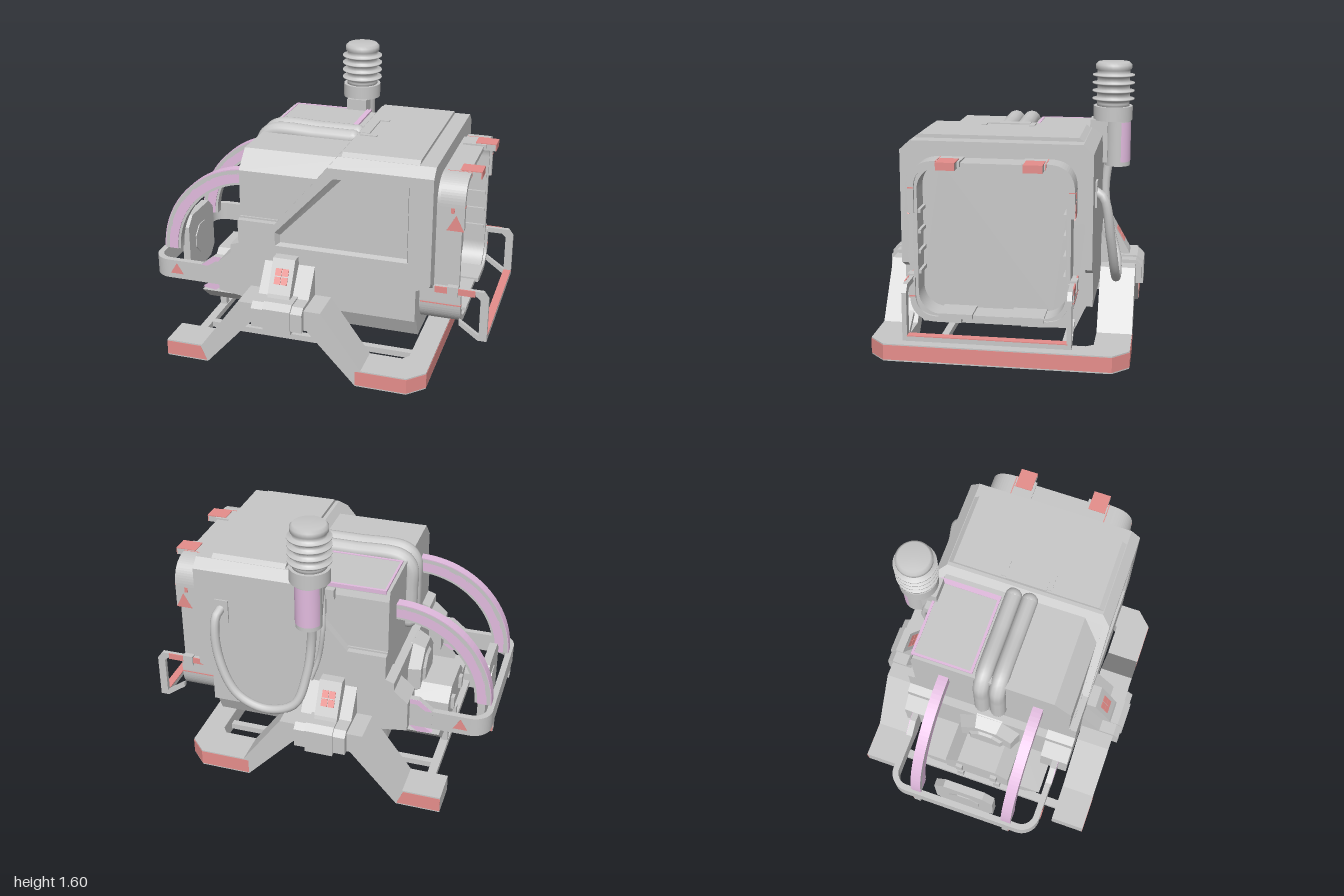
import * as THREE from 'three';

const mat = (name, color) => {
  const m = new THREE.MeshStandardMaterial({ color });
  m.name = name;
  return m;
};

export function createModel() {
  const root = new THREE.Group();
  root.name = 'fieldGenerator';
  const grey = mat('hull grey', 0xc8c8c8);
  const red = mat('warning red', 0xe68e8b);
  const pink = mat('trim lilac', 0xe2bbdf);

  const add = (name, geo, m = grey) => {
    const mesh = new THREE.Mesh(geo, m);
    mesh.name = name;
    root.add(mesh);
    return mesh;
  };
  // box given by its limits
  const box = (name, x0, x1, y0, y1, z0, z1, m = grey) =>
    add(name, new THREE.BoxGeometry(x1 - x0, y1 - y0, z1 - z0)
      .translate((x0 + x1) / 2, (y0 + y1) / 2, (z0 + z1) / 2), m);
  // same box on both sides
  const boxes = (name, x0, x1, y0, y1, z0, z1, m) => {
    box(name + 'Left', x0, x1, y0, y1, z0, z1, m);
    box(name + 'Right', x0, x1, y0, y1, -z1, -z0, m);
  };
  const shapeOf = (pts) => new THREE.Shape(pts.map(([a, b]) => new THREE.Vector2(a, b)));
  const extrude = (shape, depth) =>
    new THREE.ExtrudeGeometry(shape, { depth, bevelEnabled: false, curveSegments: 16 });
  // side profile (x, y) between two z values
  const plate = (name, pts, z0, z1, m) =>
    add(name, extrude(Array.isArray(pts) ? shapeOf(pts) : pts, z1 - z0).translate(0, 0, z0), m);
  const plates = (name, pts, z0, z1, m) => {
    plate(name + 'Left', pts, z0, z1, m);
    plate(name + 'Right', pts, -z1, -z0, m);
  };
  // cross-section (-z, y) between two x values
  const prism = (name, shape, x0, x1, m) =>
    add(name, extrude(shape, x1 - x0).rotateY(Math.PI / 2).translate(x0, 0, 0), m);
  const mirrored = (half) => shapeOf([...half, ...half.map(([z, y]) => [-z, y]).reverse()]);
  const tube = (name, pts, r, m = grey) => add(name, new THREE.TubeGeometry(
    new THREE.CatmullRomCurve3(pts.map((p) => new THREE.Vector3(...p))), 48, r, 12), m);
  const roundRect = (Cls, w, y0, y1, r) => {
    const s = new Cls();
    s.absarc(w - r, y0 + r, r, -Math.PI / 2, 0);
    s.absarc(w - r, y1 - r, r, 0, Math.PI / 2);
    s.absarc(-w + r, y1 - r, r, Math.PI / 2, Math.PI);
    s.absarc(-w + r, y0 + r, r, Math.PI, Math.PI * 1.5);
    s.closePath();
    return s;
  };

  // hull core: lower tub, sloped cabin and narrower hood
  prism('lowerHull', mirrored([[0.42, 0.21], [0.48, 0.34], [0.48, 0.83]]), -0.42, 0.61);
  prism('rearHull', mirrored([[0.45, 0.53], [0.48, 0.57], [0.48, 0.83]]), 0.6, 0.69);
  const cabin = prism('cabin', mirrored([[0.48, 0.82], [0.48, 1.19], [0.515, 1.19], [0.46, 1.24]]), 0, 0.69);
  const p = cabin.geometry.attributes.position;
  for (let i = 0; i < p.count; i++)
    if (p.getX(i) < 0.01) p.setX(i, -0.2 + (p.getY(i) - 0.82) * 0.83);
  cabin.geometry.computeVertexNormals();
  prism('hood', shapeOf([[-0.47, 0.8], [0.47, 0.8], [0.47, 1.14], [0.455, 1.195], [-0.37, 1.2], [-0.47, 1.1]]), -0.42, 0.2);
  prism('roofPanel', mirrored([[0.47, 1.23], [0.43, 1.26]]), 0.17, 0.6);
  boxes('roofRail', 0.18, 0.28, 1.25, 1.265, 0.12, 0.15);
  box('roofLatch', 0.17, 0.23, 1.25, 1.267, -0.12, 0.12);

  // side skins, the front one with a recessed window and sloping reveals
  const skin = [[-0.42, 0.34], [0.61, 0.34], [0.61, 0.53], [0.69, 0.57], [0.69, 1.19],
    [0.11, 1.19], [-0.2, 0.82], [-0.42, 0.82]];
  const outer = [[-0.2, 0.69], [0.56, 0.69], [0.56, 1.13], [0.14, 1.13], [-0.2, 0.77]];
  const inner = [[-0.18, 0.7], [0.55, 0.7], [0.55, 1.12], [0.18, 1.12], [-0.18, 0.745]];
  const front = shapeOf(skin);
  front.holes.push(new THREE.Path(outer.map(([x, y]) => new THREE.Vector2(x, y))));
  plate('windowSkin', front, 0.475, 0.515);
  const reveal = [];
  outer.forEach((o, i) => {
    const j = (i + 1) % 5;
    const [a, b, c, d] = [[...o, 0.515], [...outer[j], 0.515], [...inner[j], 0.482], [...inner[i], 0.482]];
    reveal.push(...a, ...b, ...c, ...a, ...c, ...d);
  });
  const revealGeo = new THREE.BufferGeometry();
  revealGeo.setAttribute('position', new THREE.Float32BufferAttribute(reveal, 3));
  revealGeo.computeVertexNormals();
  add('windowReveal', revealGeo);
  plate('plainSkin', skin, -0.515, -0.475);

  // nose corners, octagonal nose housing and belly
  plates('noseCorner', [[-0.55, 0.36], [-0.41, 0.34], [-0.41, 0.68], [-0.47, 0.66], [-0.47, 0.61], [-0.55, 0.54]], 0.35, 0.515);
  box('noseWall', -0.47, -0.41, 0.3, 0.66, -0.4, 0.4);
  const octagon = (r0, r1, len, x, y) => {
    const g = new THREE.CylinderGeometry(r0, r1, len, 8).toNonIndexed().rotateY(Math.PI / 8)
      .rotateZ(Math.PI / 2).translate(x, y, 0);
    g.computeVertexNormals();
    return g;
  };
  add('noseHousing', octagon(0.17, 0.21, 0.08, -0.5, 0.47));
  add('noseHub', octagon(0.1, 0.12, 0.02, -0.545, 0.47));
  prism('noseTray', mirrored([[0.2, 0.21], [0.2, 0.36], [0.12, 0.43]]), -0.72, -0.45);
  boxes('trayCatch', -0.74, -0.7, 0.28, 0.36, 0.09, 0.13);
  prism('belly', mirrored([[0.3, 0.19], [0.4, 0.28]]), -0.71, 0.36);
  boxes('bellyRib', -0.5, 0.3, 0.18, 0.22, 0.1, 0.14);

  // lilac-edged panel and twin ducts on the hood
  box('hoodPanel', -0.4, 0.08, 1.18, 1.204, -0.465, -0.11);
  for (const z of [-0.468, -0.125]) box('panelTrimLong', -0.4, 0.08, 1.185, 1.207, z, z + 0.015, pink);
  for (const [x, w] of [[-0.402, 0.012], [0.05, 0.03]])
    box('panelTrimShort', x, x + w, 1.185, 1.207, -0.468, -0.11, pink);
  for (const z of [-0.05, 0.045]) {
    tube('hoodDuct', [[0.11, 1.2, z], [-0.1, 1.2, z], [-0.37, 1.195, z], [-0.425, 1.14, z], [-0.43, 1, z], [-0.43, 0.8, z]], 0.048);
    for (const [x, y] of [[0.11, 1.2], [-0.43, 0.8]])
      add('ductEnd', new THREE.SphereGeometry(0.048, 16, 10).translate(x, y, z));
  }

  // curved guard arches
  const arc = (r0, r1) => {
    const s = new THREE.Shape();
    s.absarc(-0.42, 0.48, r1, Math.PI / 2, Math.PI, false);
    s.absarc(-0.42, 0.48, r0, Math.PI, Math.PI / 2, true);
    s.closePath();
    return s;
  };
  plates('archCore', arc(0.48, 0.535), 0.25, 0.31, pink);
  plates('archRim', arc(0.53, 0.557), 0.25, 0.31);
  plates('archCap', arc(0.556, 0.562), 0.25, 0.31, pink);
  plates('archInner', arc(0.465, 0.482), 0.255, 0.305);

  // U-shaped bumper band with arms
  const u = new THREE.Shape();
  u.moveTo(-0.6, -0.46);
  u.lineTo(-0.6, -0.425);
  u.lineTo(-0.89, -0.425);
  u.absarc(-0.89, -0.35, 0.075, -Math.PI / 2, -Math.PI, true);
  u.absarc(-0.89, 0.35, 0.075, Math.PI, Math.PI / 2, true);
  u.lineTo(-0.6, 0.425);
  u.lineTo(-0.6, 0.46);
  u.absarc(-0.89, 0.35, 0.11, Math.PI / 2, Math.PI, false);
  u.absarc(-0.89, -0.35, 0.11, Math.PI, Math.PI * 1.5, false);
  u.closePath();
  add('bumperBand', extrude(u, 0.115).rotateX(-Math.PI / 2).translate(0, 0.362, 0));
  plates('bumperArm', [[-0.68, 0.362], [-0.55, 0.362], [-0.47, 0.42], [-0.47, 0.54], [-0.6, 0.54], [-0.68, 0.477]], 0.425, 0.461);
  plates('armTrim', [[-0.68, 0.475], [-0.64, 0.475], [-0.59, 0.51], [-0.55, 0.51], [-0.55, 0.539], [-0.602, 0.539]], 0.458, 0.463, pink);
  plates('armBrace', [[-0.68, 0.33], [-0.6, 0.32], [-0.53, 0.37], [-0.55, 0.4], [-0.6, 0.38]], 0.43, 0.455, pink);
  plates('bumperWarning', [[-0.88, 0.395], [-0.8, 0.395], [-0.84, 0.46]], 0.456, 0.464, red);
  boxes('bumperHook', -1, -0.965, 0.3, 0.365, 0.26, 0.3);
  boxes('hookFace', -0.998, -0.967, 0.302, 0.36, 0.298, 0.304, red);
  // vertical shield inside the bumper
  prism('noseShield', mirrored([[0.12, 0.24], [0.18, 0.3], [0.18, 0.56], [0.12, 0.62]]), -0.93, -0.885);
  for (const x of [-0.93, -0.885]) add('shieldBoss', octagon(0.1, 0.1, 0.012, x, 0.43));

  // skids, legs and hubs
  plates('leg', [[-0.8, 0], [-0.55, 0], [-0.28, 0.3], [0.05, 0.3], [0.33, 0], [0.5, 0], [0.5, 0.1],
    [0.36, 0.1], [0.13, 0.42], [-0.35, 0.42], [-0.585, 0.1], [-0.8, 0.1]], 0.52, 0.72);
  const skid = shapeOf([[0.45, -0.72], [0.62, -0.72], [0.71, -0.63], [0.71, 0.63], [0.62, 0.72], [0.45, 0.72],
    [0.45, 0.52], [0.55, 0.52], [0.58, 0.48], [0.58, -0.48], [0.55, -0.52], [0.45, -0.52]]);
  add('rearSkid', extrude(skid, 0.1).rotateX(-Math.PI / 2));
  const rim = shapeOf([[0.33, -0.722], [0.621, -0.722], [0.712, -0.631], [0.712, 0.631], [0.621, 0.722], [0.33, 0.722],
    [0.36, 0.716], [0.618, 0.716], [0.706, 0.628], [0.706, -0.628], [0.618, -0.716], [0.36, -0.716]]);
  add('rearSkidStripe', extrude(rim, 0.085).rotateX(-Math.PI / 2).translate(0, 0.008, 0), red);
  plates('footStripe', [[-0.8, 0.008], [-0.555, 0.008], [-0.59, 0.092], [-0.8, 0.092]], 0.716, 0.722, red);
  // hubs with bevelled outer edges and sloped lamp housings
  for (const s of [1, -1]) {
    const side = (pts) => shapeOf(pts.map(([z, y]) => [-s * z, y]));
    prism('hub', side([[0.47, 0.3], [0.755, 0.3], [0.755, 0.41], [0.72, 0.44], [0.47, 0.44]]), -0.26, 0.035);
    prism('hubClamp', side([[0.6, 0.28], [0.763, 0.28], [0.763, 0.42], [0.725, 0.45], [0.6, 0.45]]), -0.19, -0.03);
    prism('hubGusset', side([[0.5, 0.4], [0.66, 0.4], [0.51, 0.6]]), -0.26, 0.035);
    prism('lampHousing', side([[0.5, 0.42], [0.69, 0.42], [0.67, 0.47], [0.57, 0.645], [0.5, 0.645]]), -0.19, -0.06);
    for (const [x, v] of [[-0.02, -0.026], [0.02, -0.026], [-0.02, 0.022], [0.02, 0.022]]) {
      const tile = box('legLampTile', -0.018, 0.018, -0.021, 0.021, -0.004, 0.004, red);
      tile.position.set(-0.125 + x, 0.56 + v * 0.868, s * (0.62 - v * 0.496));
      tile.rotation.x = -s * 0.52;
    }
  }

  // ladder frame between the skids
  boxes('frameRail', -0.7, 0.6, 0.015, 0.05, 0.33, 0.37);
  for (const x of [-0.72, -0.3, 0.04]) box('frameCross', x, x + 0.05, 0.015, 0.05, -0.36, 0.36);
  boxes('frameEnd', -0.72, -0.67, 0.015, 0.05, 0.35, 0.54);
  boxes('framePost', 0.04, 0.08, 0.04, 0.105, 0.1, 0.14);
  boxes('frontPost', -0.715, -0.675, 0.04, 0.125, 0.1, 0.14);

  // open rounded collar on the tail
  const collar = roundRect(THREE.Shape, 0.415, 0.31, 1.155, 0.14);
  collar.holes.push(roundRect(THREE.Path, 0.39, 0.335, 1.13, 0.12));
  prism('tailCollar', collar, 0.6, 0.83);
  prism('tailPanel', roundRect(THREE.Shape, 0.4, 0.32, 1.14, 0.13), 0.6, 0.7);
  const corner = (sz, y, sy, len) => {
    const s = new THREE.Shape(), pt = (a, b) => [sz * a, y + sy * b];
    s.moveTo(...pt(0.435, -len));
    s.lineTo(...pt(0.435, -0.15));
    s.quadraticCurveTo(...pt(0.435, 0), ...pt(0.285, 0));
    s.lineTo(...pt(0.16, 0));
    s.lineTo(...pt(0.16, -0.03));
    s.lineTo(...pt(0.285, -0.03));
    s.quadraticCurveTo(...pt(0.405, -0.03), ...pt(0.405, -0.15));
    s.lineTo(...pt(0.405, -len));
    return s;
  };
  for (const s of [1, -1]) {
    prism('upperCorner', corner(s, 1.165, 1, 0.28), 0.71, 0.845);
    prism('lowerCorner', corner(s, 0.295, -1, 0.24), 0.615, 0.845);
  }
  boxes('tailLamp', 0.78, 0.896, 1.128, 1.165, 0.175, 0.275);
  boxes('tailLampTop', 0.78, 0.9, 1.163, 1.169, 0.175, 0.275, red);
  boxes('tailLampEnd', 0.894, 0.9, 1.128, 1.165, 0.175, 0.275, red);
  // red seams and warning marks on the collar
  boxes('lowerSeam', 0.62, 0.847, 0.43, 0.437, 0.405, 0.437, red);
  boxes('upperSeam', 0.843, 0.847, 1.017, 1.023, 0.405, 0.436, red);
  boxes('topSeam', 0.715, 0.847, 1.135, 1.166, 0.282, 0.287, red);
  plates('collarWarning', [[0.75, 0.88], [0.845, 0.88], [0.8, 0.97]], 0.43, 0.437, red);
  boxes('collarMark', 0.77, 0.79, 0.98, 1.01, 0.43, 0.437, red);
  for (let i = 0; i < 4; i++) boxes('innerRung', 0.7, 0.82, 0.55 + i * 0.11, 0.57 + i * 0.11, 0.375, 0.392);
  boxes('sill', 0.7, 0.85, 0.32, 0.345, 0.1, 0.28);

  // tail handle
  boxes('handleArm', 0.7, 0.94, 0.51, 0.54, 0.415, 0.44);
  boxes('handleArmStripe', 0.7, 0.925, 0.505, 0.541, 0.437, 0.444, red);
  boxes('handleClamp', 0.77, 0.83, 0.49, 0.55, 0.41, 0.45);
  plates('handlePost', [[0.93, 0.54], [0.93, 0.51], [0.955, 0.49], [0.955, 0.27], [0.84, 0.35], [0.84, 0.32],
    [0.95, 0.24], [1, 0.24], [1, 0.5], [0.97, 0.54]], 0.415, 0.44);
  box('handleBar', 0.955, 1, 0.24, 0.265, -0.42, 0.42);
  box('handleBarTop', 0.955, 1, 0.264, 0.27, -0.42, 0.42, red);

  // ribbed mast with bracket
  const prof = [[0, 1.3], [0.093, 1.34], [0.093, 1.36]];
  for (let i = 0; i < 4; i++) {
    const y = 1.385 + i * 0.045;
    prof.push([0.093, y - 0.01], [0.12, y - 0.003], [0.12, y + 0.003], [0.093, y + 0.008]);
  }
  prof.push([0.093, 1.55], [0.103, 1.555], [0.103, 1.58], [0.088, 1.595], [0, 1.595]);
  const mast = new THREE.LatheGeometry(prof.map(([r, y]) => new THREE.Vector2(r, y)), 28);
  add('mastInsulator', mast.translate(-0.01, 0, -0.565));
  const can = (r, y0, y1, z) => new THREE.CylinderGeometry(r, r, y1 - y0, 28).translate(-0.01, (y0 + y1) / 2, z);
  add('mastCollar', can(0.112, 1.265, 1.345, -0.565));
  add('mastCanister', can(0.073, 1, 1.31, -0.595));
  add('mastStripe', new THREE.CylinderGeometry(0.075, 0.075, 0.23, 16, 1, true, Math.PI - 1.25, 2.5)
    .translate(-0.01, 1.14, -0.595), pink);
  box('mastBracket', -0.07, 0.05, 1.02, 1.27, -0.54, -0.44);
  box('mastArm', -0.12, 0.06, 1.12, 1.18, -0.5, -0.44);

  // hose looping down the back side
  tube('hose', [[0.53, 0.97, -0.5], [0.55, 0.93, -0.56], [0.53, 0.7, -0.6], [0.42, 0.48, -0.62], [0.25, 0.41, -0.62],
    [0.08, 0.47, -0.61], [0.02, 0.65, -0.56], [0, 0.85, -0.53], [-0.01, 1.05, -0.55]], 0.026);
  tube('thinHose', [[-0.06, 1.15, -0.5], [-0.07, 0.95, -0.54], [-0.04, 0.75, -0.53], [0, 0.62, -0.55]], 0.014);
  box('hoseSocket', 0.49, 0.57, 0.88, 1.02, -0.525, -0.5);
  return root;
}
